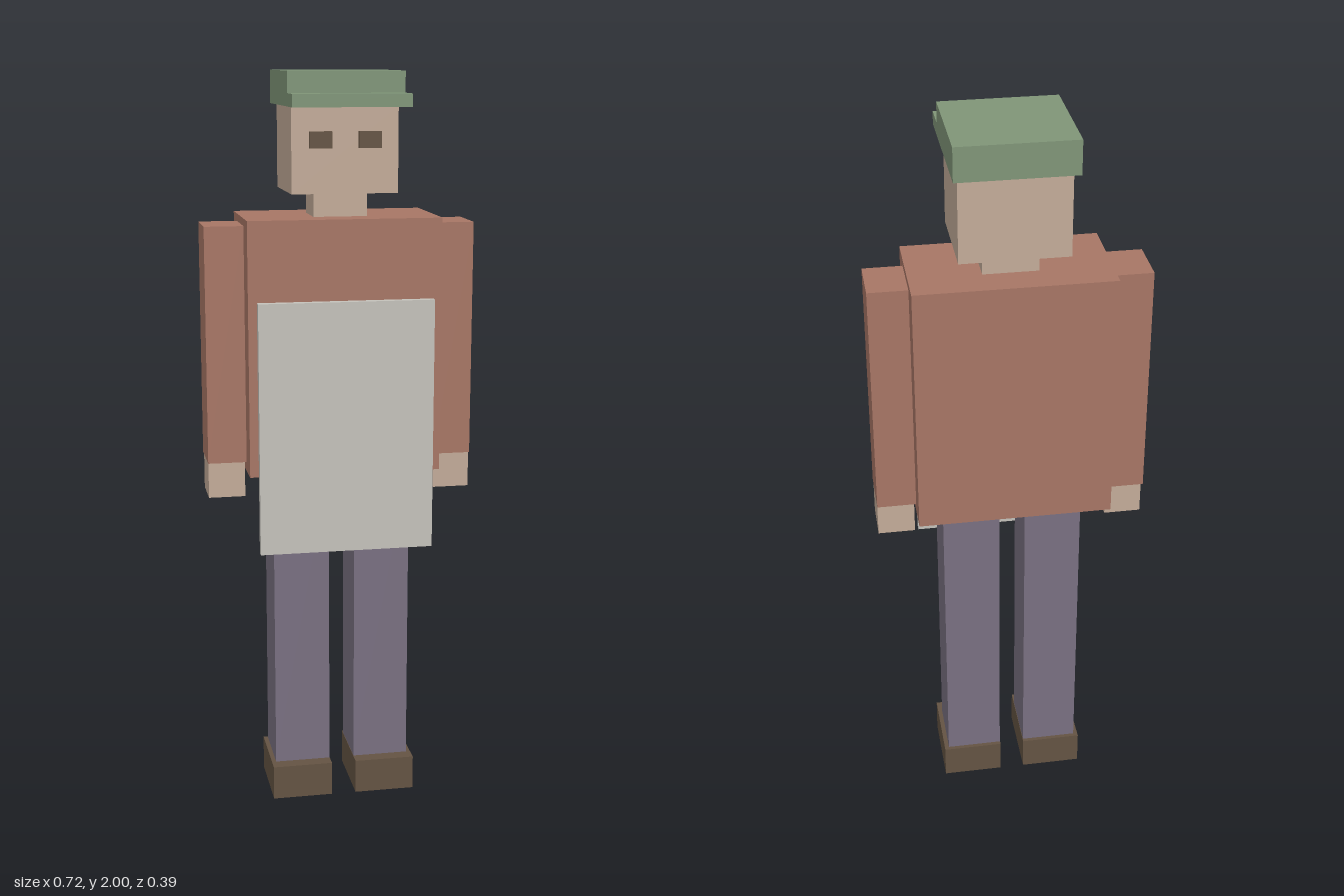
import * as THREE from 'three';

const mat = (name, color) => {
  const m = new THREE.MeshStandardMaterial({ color });
  m.name = name;
  return m;
};

export function createModel() {
  const model = new THREE.Group();
  model.name = 'workerFigure';

  const cap = mat('capGreen', 0x82987a);
  const skin = mat('skin', 0xc6ae9b);
  const shirt = mat('shirtRed', 0xaa7867);
  const apron = mat('apronGrey', 0xc8c5be);
  const trousers = mat('trouserPurple', 0x7b7283);
  const leather = mat('darkBrown', 0x665544);

  // Box given by its lower and upper limits on each axis
  const box = (name, material, [x0, x1], [y0, y1], [z0, z1]) => {
    const mesh = new THREE.Mesh(new THREE.BoxGeometry(x1 - x0, y1 - y0, z1 - z0), material);
    mesh.position.set((x0 + x1) / 2, (y0 + y1) / 2, (z0 + z1) / 2);
    mesh.name = name;
    model.add(mesh);
  };
  // The same box on both sides of the body
  const pair = (name, material, [x0, x1], y, z) => {
    box('left' + name, material, [x0, x1], y, z);
    box('right' + name, material, [-x1, -x0], y, z);
  };

  // Cap and head
  box('cap', cap, [-0.153, 0.153], [1.912, 2], [-0.193, 0.11]);
  box('capBrim', cap, [-0.153, 0.153], [1.912, 1.945], [0.11, 0.193]);
  box('head', skin, [-0.14, 0.14], [1.69, 1.912], [-0.163, 0.09]);
  box('neck', skin, [-0.072, 0.072], [1.625, 1.69], [-0.095, 0.022]);
  pair('Eye', leather, [0.035, 0.094], [1.806, 1.849], [0.09, 0.0995]);

  // Torso and apron
  box('torso', shirt, [-0.258, 0.258], [0.945, 1.625], [-0.183, 0.1]);
  box('apron', apron, [-0.235, 0.235], [0.735, 1.413], [0.102, 0.124]);

  // Arms and hands
  pair('Arm', shirt, [0.258, 0.362], [0.97, 1.605], [-0.113, 0.027]);
  pair('Hand', skin, [0.262, 0.361], [0.873, 0.97], [-0.095, 0.02]);

  // Legs and shoes
  pair('Leg', trousers, [0.035, 0.188], [0.095, 0.945], [-0.122, 0.042]);
  pair('Shoe', leather, [0.034, 0.2], [0, 0.095], [-0.133, 0.079]);

  return model;
}
